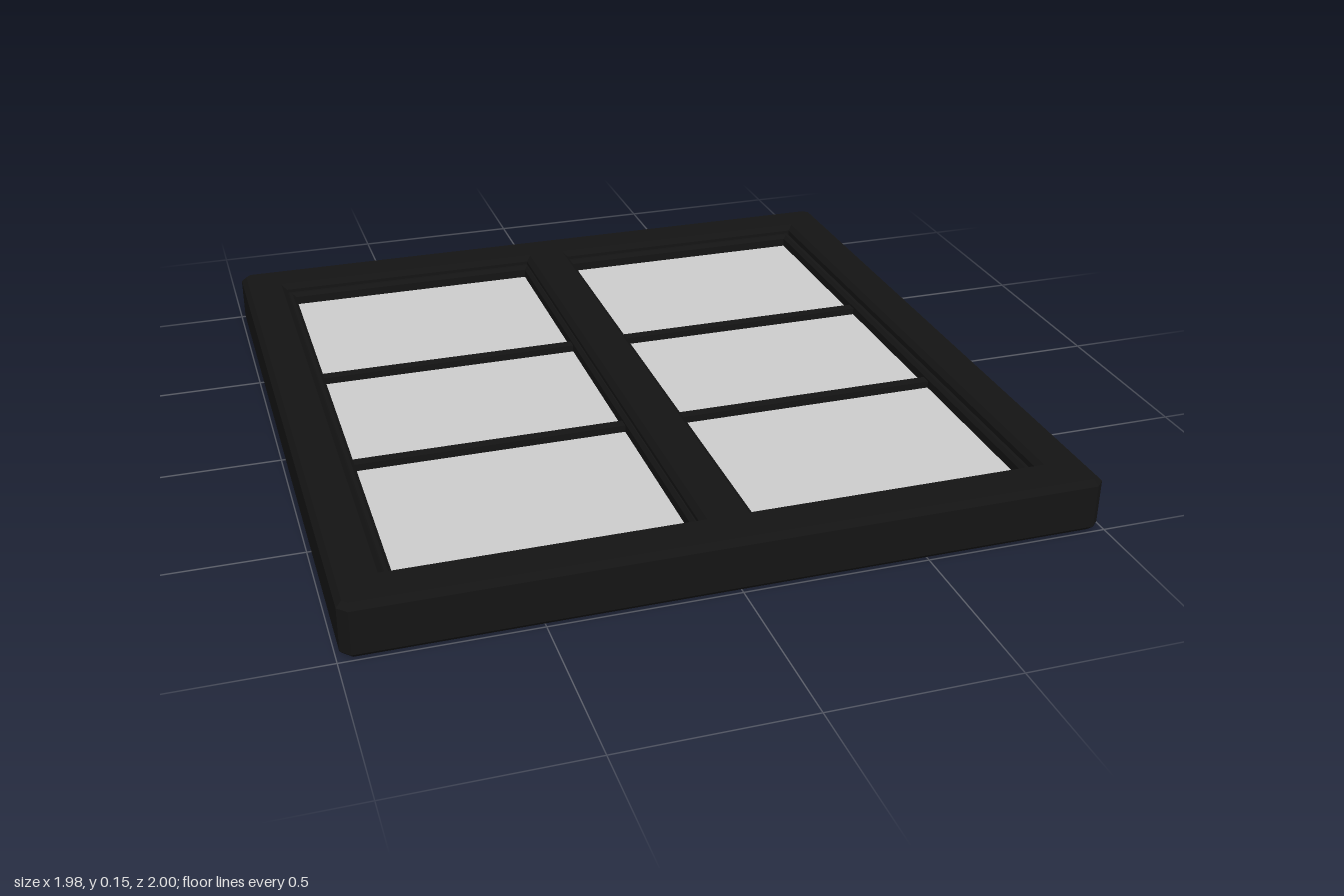
import * as THREE from 'three';

const dark = new THREE.MeshStandardMaterial({ color: 0x141414, flatShading: true });
const grey = new THREE.MeshStandardMaterial({ color: 0xcccccc });

// Rectangle outline with optional cut corners
function outline(Type, x0, x1, z0, z1, cut = 0) {
  const points = cut
    ? [[x0 + cut, z0], [x1 - cut, z0], [x1, z0 + cut], [x1, z1 - cut],
       [x1 - cut, z1], [x0 + cut, z1], [x0, z1 - cut], [x0, z0 + cut]]
    : [[x0, z0], [x1, z0], [x1, z1], [x0, z1]];
  return new Type(points.map(([x, z]) => new THREE.Vector2(x, z)));
}

// Lays a bevelled extrusion flat between heights y0 and y1
function slab(name, shape, y0, y1, bevel) {
  const geometry = new THREE.ExtrudeGeometry(shape, {
    depth: y1 - y0 - 2 * bevel,
    bevelEnabled: true, bevelSize: bevel, bevelThickness: bevel, bevelSegments: 1,
  });
  geometry.rotateX(-Math.PI / 2).translate(0, y0 + bevel, 0);
  const mesh = new THREE.Mesh(geometry, dark);
  mesh.name = name;
  return mesh;
}

function box(name, material, w, h, d, x, y, z) {
  const mesh = new THREE.Mesh(new THREE.BoxGeometry(w, h, d), material);
  mesh.name = name;
  mesh.position.set(x, y, z);
  return mesh;
}

export function createModel() {
  const group = new THREE.Group();
  group.name = 'window';

  // Outer frame with the centre post between two openings
  const frame = outline(THREE.Shape, -0.975, 0.975, -0.985, 0.985, 0.015);
  frame.holes.push(
    outline(THREE.Path, 0.055, 0.875, -0.88, 0.88),
    outline(THREE.Path, -0.875, -0.055, -0.88, 0.88),
  );
  group.add(slab('frame', frame, 0, 0.15, 0.015));

  for (const side of [-1, 1]) {
    const casement = new THREE.Group();
    casement.name = side > 0 ? 'leftCasement' : 'rightCasement';
    casement.position.x = side * 0.459;

    // Recessed rim holding the glass
    const rim = outline(THREE.Shape, -0.395, 0.395, -0.87, 0.87);
    rim.holes.push(outline(THREE.Path, -0.386, 0.386, -0.855, 0.855));
    casement.add(slab('rim', rim, 0.045, 0.125, 0.01));

    // Glass and the two glazing bars
    casement.add(box('glass', grey, 0.77, 0.01, 1.71, 0, 0.085, 0));
    for (const z of [-0.267, 0.267]) {
      casement.add(box('glazingBar', dark, 0.77, 0.05, 0.03, 0, 0.085, z));
    }
    group.add(casement);
  }
  return group;
}
